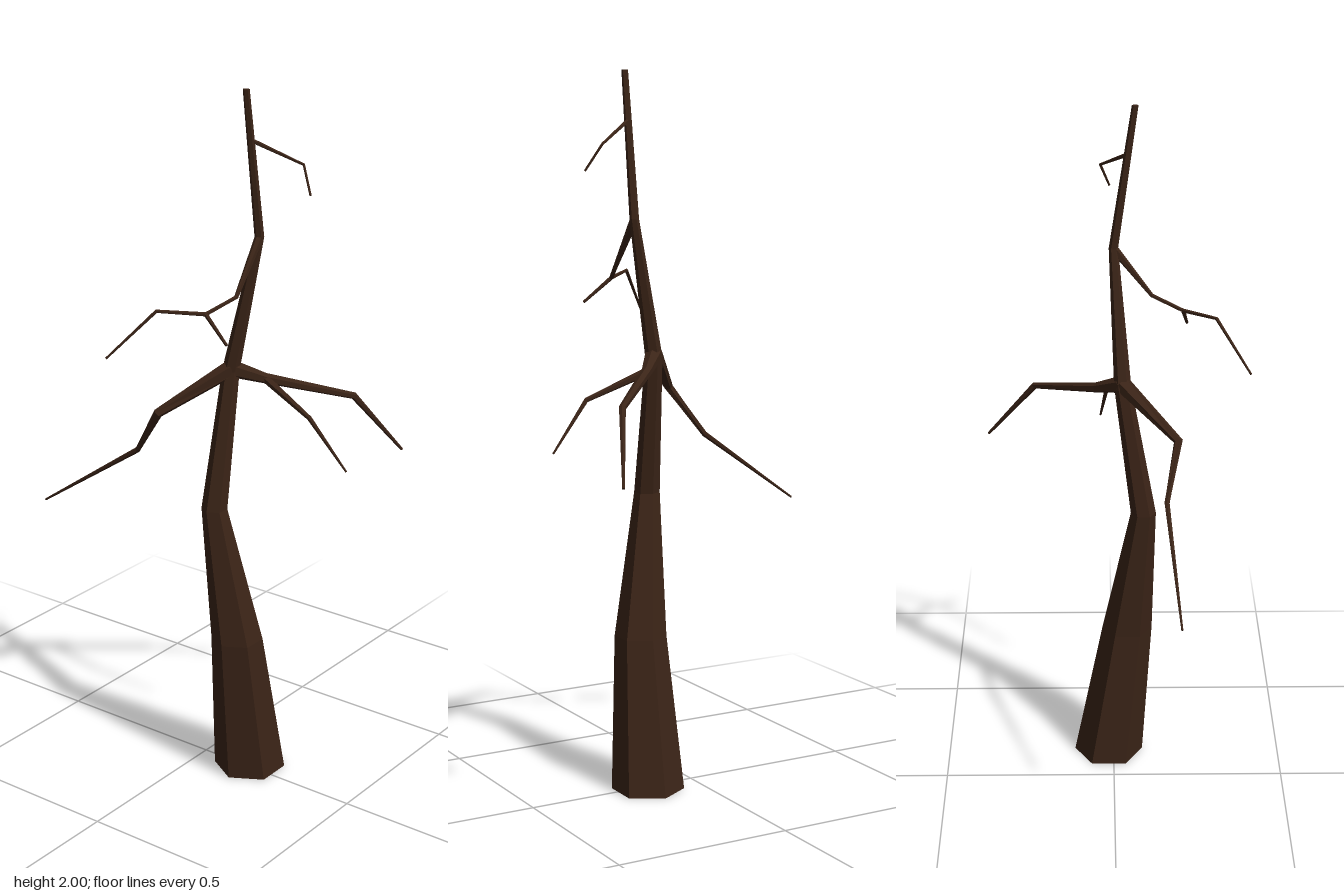
import * as THREE from 'three';

const bark = new THREE.MeshStandardMaterial({ color: 0x3b2417, flatShading: true });

// Tapered faceted limb through points [x, y, z, radius]; level keeps the rings horizontal
function limb(name, points, sides, level = false) {
  const centres = points.map(p => new THREE.Vector3(p[0], p[1], p[2]));
  const last = points.length - 1;
  const pos = [], index = [];
  const ref = level ? new THREE.Vector3(0, 0, 1) : new THREE.Vector3(0, 1, 0);
  points.forEach((p, i) => {
    // ring plane follows the average of the neighbouring segments
    const dir = new THREE.Vector3(0, 1, 0);
    if (!level) {
      dir.set(0, 0, 0);
      if (i > 0) dir.add(centres[i].clone().sub(centres[i - 1]).normalize());
      if (i < last) dir.add(centres[i + 1].clone().sub(centres[i]).normalize());
      dir.normalize();
    }
    const u = ref.clone().addScaledVector(dir, -ref.dot(dir)).normalize();
    const v = dir.clone().cross(u);
    for (let s = 0; s < sides; s++) {
      const a = s / sides * Math.PI * 2;
      const q = centres[i].clone()
        .addScaledVector(u, Math.cos(a) * p[3])
        .addScaledVector(v, Math.sin(a) * p[3]);
      pos.push(q.x, q.y, q.z);
    }
  });
  for (let i = 0; i < last; i++) {
    for (let s = 0; s < sides; s++) {
      const a = i * sides + s, b = i * sides + (s + 1) % sides;
      index.push(a, b, b + sides, a, b + sides, a + sides);
    }
  }
  // end caps
  const top = last * sides;
  for (let s = 1; s < sides - 1; s++) {
    index.push(0, s + 1, s, top, top + s, top + s + 1);
  }
  const geo = new THREE.BufferGeometry();
  geo.setAttribute('position', new THREE.Float32BufferAttribute(pos, 3));
  geo.setIndex(index);
  const flat = geo.toNonIndexed();
  flat.computeVertexNormals();
  const mesh = new THREE.Mesh(flat, bark);
  mesh.name = name;
  return mesh;
}

export function createModel() {
  const tree = new THREE.Group();
  tree.name = 'bareTree';

  // leaning trunk
  tree.add(limb('trunk', [
    [0.148, 0, -0.015, 0.102],
    [0.14, 0.43, 0.04, 0.073],
    [0.093, 0.83, 0.085, 0.036],
    [0.103, 1.22, 0.025, 0.024],
    [0.176, 1.6, 0, 0.013],
    [0.172, 2, 0.058, 0.009],
  ], 6, true));

  // large lower branches
  tree.add(limb('rightBranch', [
    [0.103, 1.225, 0.025, 0.025],
    [-0.03, 1.11, 0.177, 0.013],
    [-0.13, 0.97, 0.144, 0.008],
    [-0.45, 0.75, 0.176, 0.003],
  ], 6));
  tree.add(limb('leftBranch', [
    [0.103, 1.225, 0.025, 0.025],
    [0.165, 1.19, -0.047, 0.015],
    [0.338, 1.125, -0.228, 0.01],
    [0.412, 0.94, -0.37, 0.004],
  ], 6));
  tree.add(limb('leftSideBranch', [
    [0.165, 1.19, -0.047, 0.012],
    [0.335, 1.12, -0.017, 0.007],
    [0.445, 0.985, -0.036, 0.003],
  ], 6));

  // forked branch reaching forward
  tree.add(limb('frontBranch', [
    [0.176, 1.6, 0, 0.012],
    [0.18, 1.46, 0.107, 0.006],
    [0.145, 1.428, 0.193, 0.006],
    [0.05, 1.44, 0.28, 0.005],
    [-0.047, 1.315, 0.371, 0.003],
  ], 6));
  tree.add(limb('frontTwig', [
    [0.145, 1.428, 0.193, 0.006],
    [0.225, 1.362, 0.208, 0.004],
  ], 6));

  // small twig near the top
  tree.add(limb('topTwig', [
    [0.173, 1.865, 0.038, 0.006],
    [0.29, 1.803, -0.035, 0.004],
    [0.33, 1.732, -0.01, 0.003],
  ], 6));

  return tree;
}
